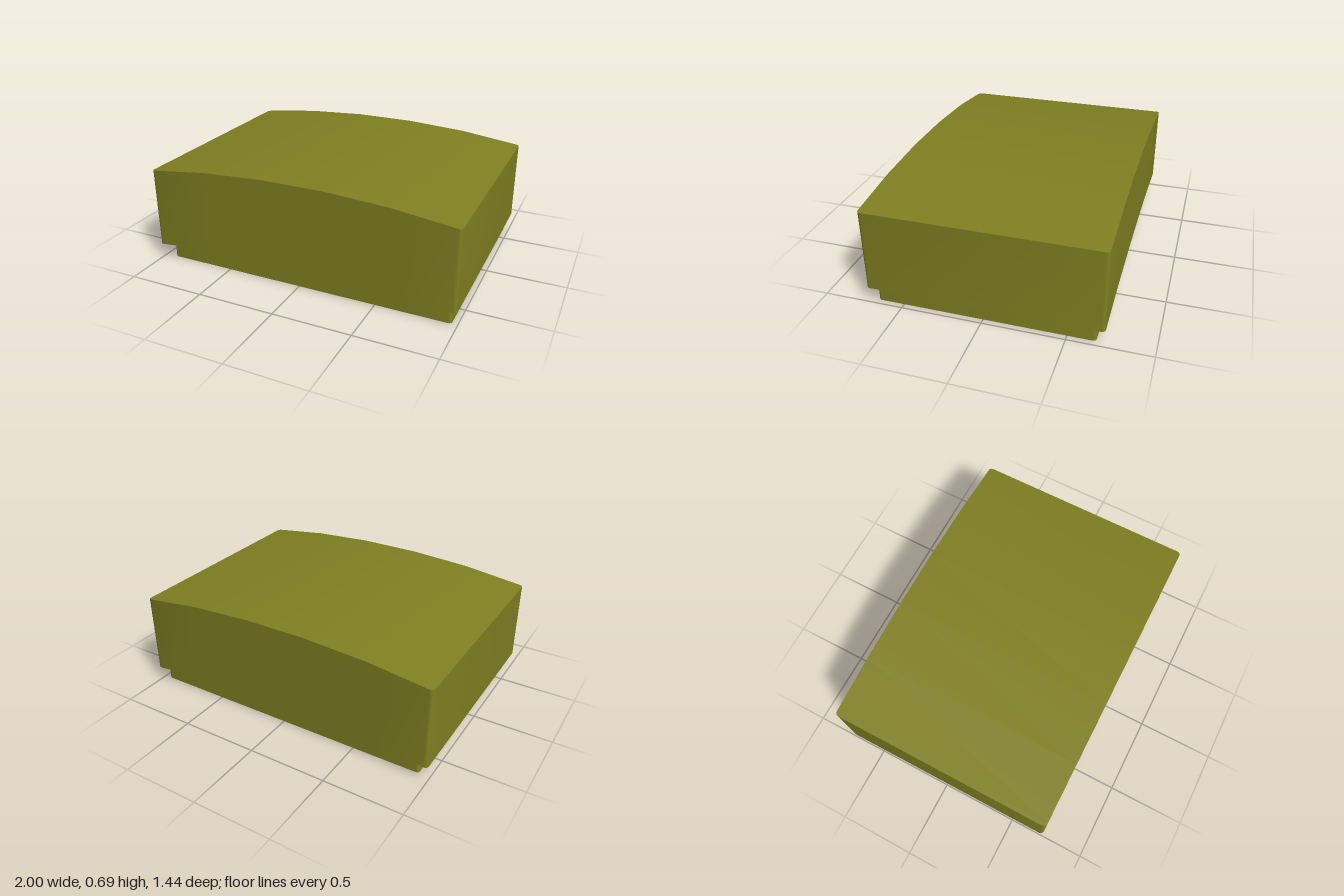
import * as THREE from 'three';
import { toCreasedNormals } from 'three/addons/utils/BufferGeometryUtils.js';

// Solid lofted along x: rounded vertical corners, bottom and top heights given as functions of x
function roundedBlock(halfX, halfZ, r, bottom, top) {
  const columns = [];
  const steps = 4;
  for (let i = 0; i <= steps; i++) {
    const a = (i / steps) * Math.PI / 2;
    columns.push([-halfX + r * (1 - Math.cos(a)), halfZ - r * (1 - Math.sin(a))]);
  }
  for (const x of [-0.6, -0.2]) columns.push([x, halfZ]);
  for (const [x, w] of [...columns].reverse()) columns.push([-x, w]);

  const pos = [], index = [];
  columns.forEach(([x, w], i) => {
    const b = bottom(x), t = top(x);
    pos.push(x, b, w, x, t, w, x, t, -w, x, b, -w);
    if (i === 0) return;
    for (let j = 0; j < 4; j++) {
      const k = (j + 1) % 4, p = (i - 1) * 4, q = i * 4;
      index.push(p + j, q + j, q + k, p + j, q + k, p + k);
    }
  });
  // End faces
  const e = (columns.length - 1) * 4;
  index.push(0, 1, 2, 0, 2, 3, e, e + 2, e + 1, e, e + 3, e + 2);

  const geo = new THREE.BufferGeometry();
  geo.setAttribute('position', new THREE.Float32BufferAttribute(pos, 3));
  geo.setIndex(index);
  return toCreasedNormals(geo, 0.6);
}

// Piecewise arch with heights at |x| = 0.2, 0.6 and 1
const arch = (mid, shoulder, edge) => (x) => {
  const a = Math.abs(x);
  if (a <= 0.2) return mid;
  if (a <= 0.6) return THREE.MathUtils.lerp(mid, shoulder, (a - 0.2) / 0.4);
  return THREE.MathUtils.lerp(shoulder, edge, (a - 0.6) / 0.4);
};

export function createModel() {
  const group = new THREE.Group();
  group.name = 'keyCap';
  const olive = new THREE.MeshStandardMaterial({ color: 0x808022 });
  olive.name = 'olive';

  // Arched cap
  const cap = new THREE.Mesh(
    roundedBlock(1, 0.72, 0.022, arch(0.155, 0.14, 0.102), arch(0.69, 0.667, 0.618)), olive);
  cap.name = 'cap';

  // Inset base, slightly off centre
  const base = new THREE.Mesh(roundedBlock(0.9475, 0.667, 0.02, () => 0, () => 0.3), olive);
  base.name = 'base';
  base.position.x = 0.0175;

  group.add(cap, base);
  return group;
}
